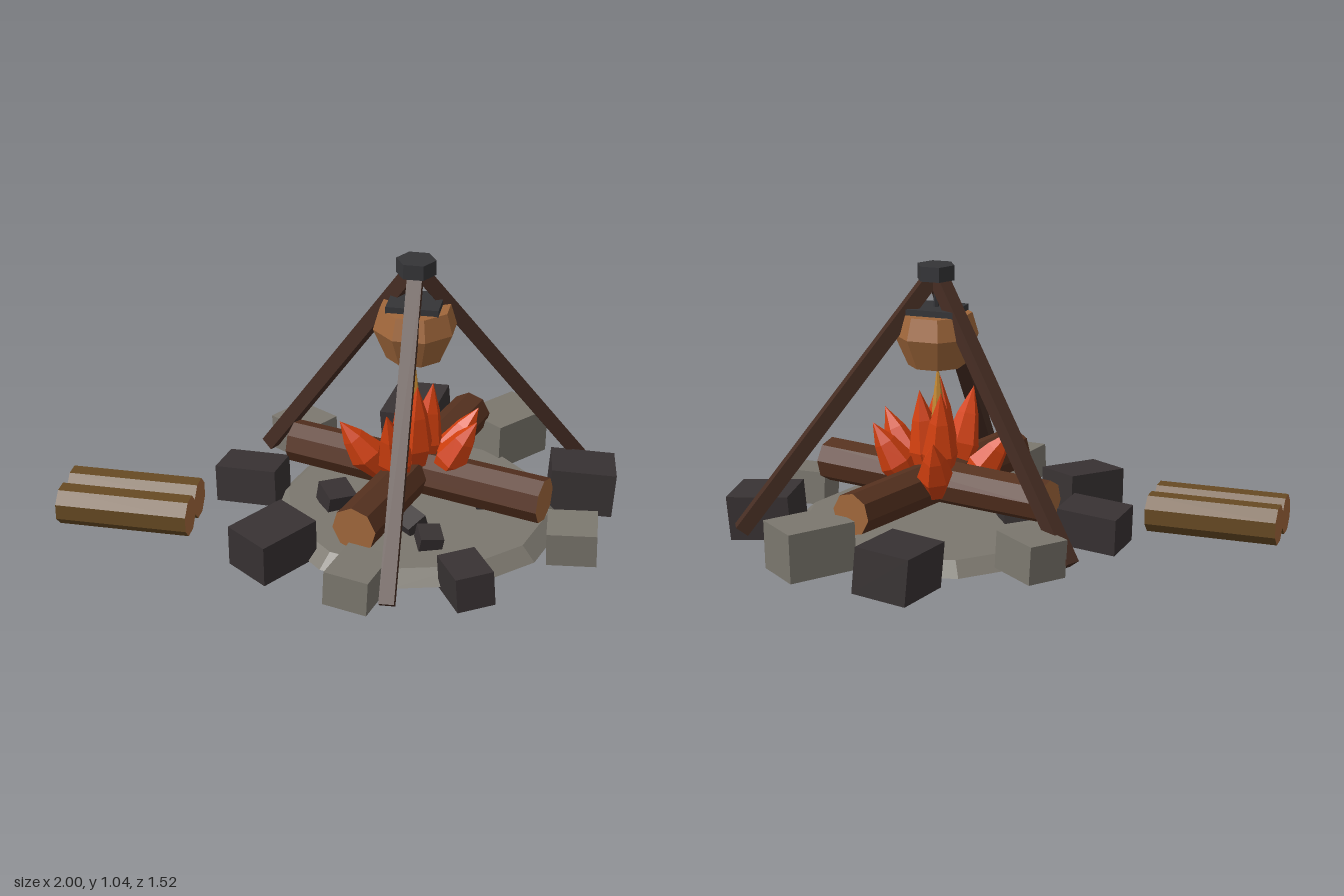
import * as THREE from 'three';

const mat = (name, color, extra = {}) => {
  const m = new THREE.MeshStandardMaterial({ color, ...extra });
  m.name = name;
  m.flatShading = true;
  return m;
};

export function createModel() {
  const group = new THREE.Group();
  const paleStone = mat('paleStone', 0x7b776e);
  const darkStone = mat('darkStone', 0x383233);
  const bark = mat('bark', 0x55311f);
  const poleWood = mat('poleWood', 0x462d23);
  const oliveBark = mat('oliveBark', 0x674a23);
  const tan = mat('cutWood', 0xa0673b);
  const iron = mat('iron', 0x343437);
  const ember = mat('flameRed', 0xd2400f);
  const gold = mat('flameGold', 0xc58a34);

  const add = (name, geo, material, x = 0, y = 0, z = 0) => {
    const mesh = new THREE.Mesh(geo, material);
    mesh.name = name;
    mesh.position.set(x, y, z);
    group.add(mesh);
    return mesh;
  };

  // turn a mesh whose length runs along y so that it points from a to b
  const up = new THREE.Vector3(0, 1, 0);
  const aim = (mesh, a, b, t = 0.5) => {
    const from = new THREE.Vector3(...a), to = new THREE.Vector3(...b);
    mesh.position.lerpVectors(from, to, t);
    mesh.quaternion.setFromUnitVectors(up, to.sub(from).normalize());
    return mesh;
  };
  const span = (a, b) => new THREE.Vector3(...a).distanceTo(new THREE.Vector3(...b));

  const CX = 0.25, CZ = -0.01;

  // stone hearth slab
  add('hearthSlab', new THREE.CylinderGeometry(0.49, 0.545, 0.05, 12), paleStone, 0.27, 0.055, 0);

  // ring of stones: x, z, width, height, depth, yaw, pale, centre height
  const ring = [
    [0.163, -0.62, 0.21, 0.17, 0.26, -0.13, 0, 0.105],
    [0.53, -0.55, 0.2, 0.18, 0.26, -0.67, 1, 0.12],
    [0.86, -0.21, 0.24, 0.17, 0.2, 0.12, 0, 0.108],
    [0.865, 0.185, 0.18, 0.13, 0.165, 0.07, 1, 0.095],
    [0.53, 0.53, 0.14, 0.13, 0.19, 0.5, 0, 0.09],
    [0.165, 0.63, 0.165, 0.13, 0.215, -0.22, 1, 0.11],
    [-0.18, 0.44, 0.19, 0.16, 0.25, -0.62, 0, 0.105],
    [-0.355, 0.01, 0.235, 0.14, 0.165, -0.12, 0, 0.115],
    [-0.24, -0.38, 0.2, 0.14, 0.16, -0.6, 1, 0.12],
  ];
  ring.forEach(([x, z, w, h, d, yaw, pale, y], i) => {
    const s = add('ringStone', new THREE.BoxGeometry(w, h, d), pale ? paleStone : darkStone, x, y, z);
    s.rotation.set(0.07 * Math.sin(i * 2.3 + 1), yaw, 0.07 * Math.cos(i * 1.7), 'YXZ');
  });

  // small charred lumps on the slab
  [[-0.02, 0.08, 0.11, 0.6], [0.53, -0.02, 0.09, 0.2], [0.365, 0.31, 0.085, 0.35], [0.28, 0.21, 0.085, 0.9]]
    .forEach(([x, z, s, yaw], i) => {
      add('charcoal', new THREE.BoxGeometry(s, s * 0.7, s), darkStone, x, 0.11, z)
        .rotation.set(0.25, yaw, i % 2 ? 0.2 : -0.2);
    });

  // logs with pale cut ends
  const log = (name, a, b, r0, r1, side) => {
    const geo = new THREE.CylinderGeometry(r1, r0, span(a, b), 8);
    geo.rotateY(Math.PI / 8);
    aim(add(name, geo, [side, tan, tan]), a, b);
  };
  log('fireLog', [0.125, 0.22, 0.49], [0.4, 0.225, -0.48], 0.085, 0.08, bark);
  log('fireLog', [0.755, 0.215, 0.145], [-0.22, 0.225, -0.115], 0.085, 0.08, bark);
  for (const z of [0.21, 0.343]) log('spareLog', [-1, 0.12, z], [-0.51, 0.12, z], 0.075, 0.075, oliveBark);

  // flames: spindle shapes from base to tip
  const flame = (name, a, b, r, sides, material) => {
    const len = span(a, b);
    const profile = [[0, 0], [0.55, 0.02], [1, 0.38], [0.62, 0.7], [0, 1]]
      .map(([x, y]) => new THREE.Vector2(x * r, y * len));
    aim(add(name, new THREE.LatheGeometry(profile, sides), material), a, b, 0);
  };
  const tips = [
    [0.19, 0.43, -0.21], [-0.01, 0.42, 0.07], [0.19, 0.54, 0.225], [0.495, 0.47, 0.075], [0.48, 0.45, -0.08],
    [0.28, 0.605, 0.1], [0.21, 0.585, -0.075], [0.32, 0.57, -0.01],
  ];
  for (const [x, y, z] of tips) {
    const base = [CX + (x - CX) * 0.4, 0.2, z * 0.45];
    flame('flame', base, [x, y, z], 0.067, 6, ember);
  }
  flame('flameCore', [CX, 0.2, 0], [CX, 0.68, 0], 0.032, 6, gold);

  // tripod poles and top cap
  const apex = [CX, 1.02, CZ];
  for (const foot of [[0.285, 0.075, 0.72], [-0.37, 0.08, -0.345], [0.885, 0.08, -0.38]]) {
    const geo = new THREE.BoxGeometry(0.054, span(apex, foot), 0.054);
    const yaw = Math.atan2(foot[0] - apex[0], foot[2] - apex[2]);
    geo.rotateY(yaw);
    aim(add('tripodPole', geo, poleWood), foot, apex);
  }
  const cap = new THREE.CylinderGeometry(0.072, 0.072, 0.055, 6);
  cap.rotateY(Math.PI / 6);
  add('tripodCap', cap, iron, CX, 1.022, CZ);

  // hanging pot, lid and hook
  const potProfile = [[0, 0.675], [0.105, 0.675], [0.155, 0.79], [0.132, 0.87], [0, 0.87]]
    .map(([x, y]) => new THREE.Vector2(x, y));
  const pot = new THREE.LatheGeometry(potProfile, 8);
  pot.rotateY(Math.PI / 8);
  add('pot', pot, tan, CX, 0, CZ);
  add('potLid', new THREE.BoxGeometry(0.19, 0.025, 0.165), iron, CX, 0.88, CZ);
  add('potHook', new THREE.CylinderGeometry(0.01, 0.01, 0.13, 6), iron, CX, 0.945, CZ);

  return group;
}
